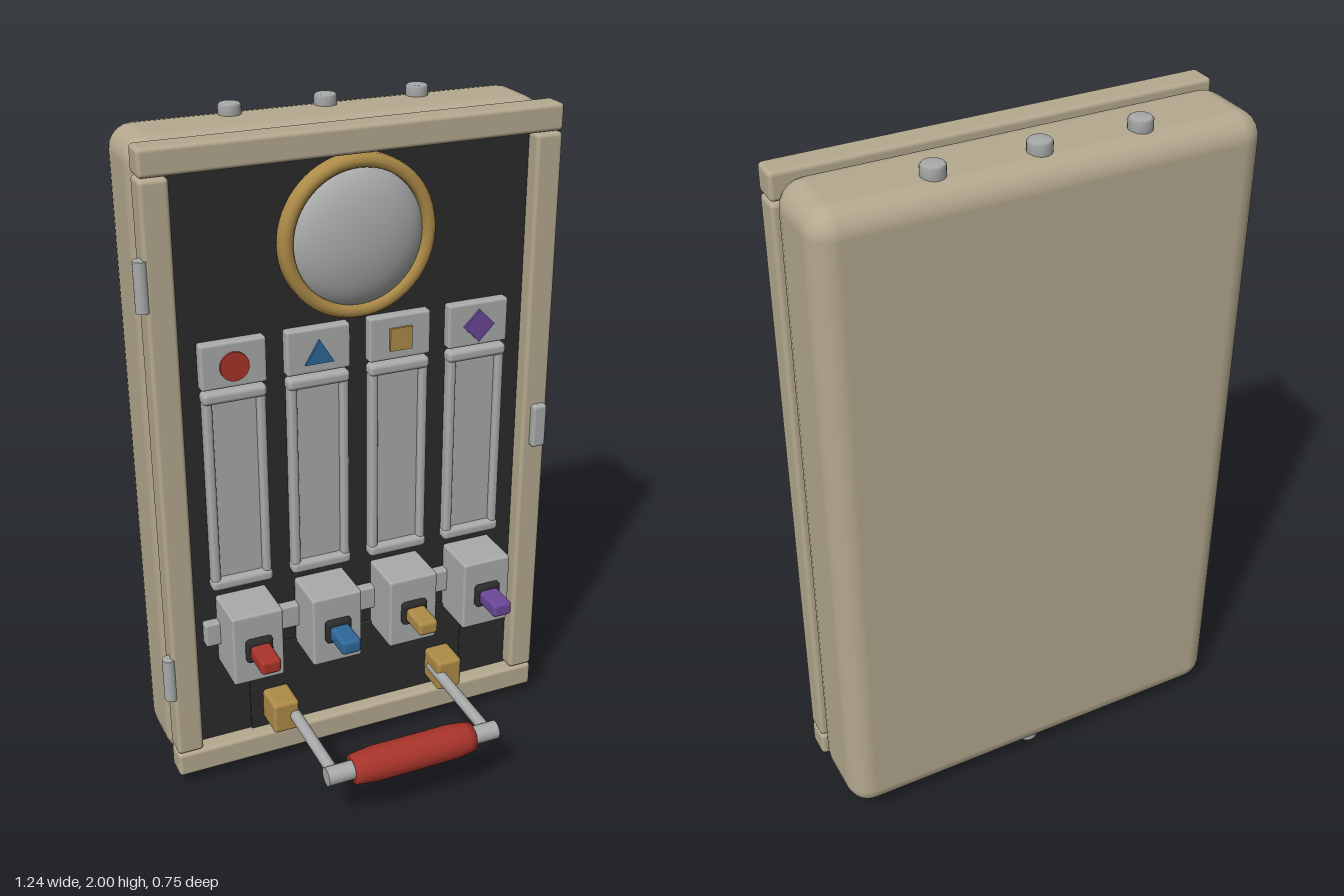
import * as THREE from 'three';
import { RoundedBoxGeometry } from 'three/addons/geometries/RoundedBoxGeometry.js';

const CX = 0.012;      // middle of the cabinet
const PANEL_Z = -0.09; // face of the recessed panel

export function createModel() {
  const root = new THREE.Group();
  root.name = 'controlCabinet';

  const mat = (name, color) => {
    const m = new THREE.MeshStandardMaterial({ color });
    m.name = name;
    return m;
  };
  const beige = mat('beige paint', 0xb5a98f);
  const dark = mat('dark panel', 0x2b2b2b);
  const metal = mat('grey metal', 0xa9abab);
  const gold = mat('brass', 0xae8c48);
  const red = mat('red', 0xa8342a);
  const blue = mat('blue', 0x2f6799);
  const purple = mat('purple', 0x6b4799);

  const add = (name, geometry, material, x = 0, y = 0, z = 0, parent = root) => {
    const mesh = new THREE.Mesh(geometry, material);
    mesh.name = name;
    mesh.position.set(x, y, z);
    parent.add(mesh);
    return mesh;
  };
  // Rounded box given by its limits on each axis
  const box = (name, material, [x0, x1], [y0, y1], [z0, z1], r = 0.008, parent = root) =>
    add(name, new RoundedBoxGeometry(x1 - x0, y1 - y0, z1 - z0, 3, r), material,
      (x0 + x1) / 2, (y0 + y1) / 2, (z0 + z1) / 2, parent);
  const around = (c, size) => [c - size / 2, c + size / 2];

  // Cabinet shell, panel and door frame
  box('cabinetBody', beige, [-0.594, 0.618], [0.04, 1.97], [-0.377, -0.115], 0.07);
  box('panel', dark, [-0.54, 0.564], [0.1, 1.91], [-0.13, PANEL_Z], 0.004);
  box('lowerDoor', dark, [-0.345, 0.37], [0.11, 0.41], [PANEL_Z - 0.01, PANEL_Z + 0.008], 0.003);
  const frameZ = [-0.119, -0.041];
  box('frameTop', beige, [-0.594, 0.618], [1.893, 1.97], frameZ, 0.012);
  box('frameBottom', beige, [-0.594, 0.618], [0.04, 0.12], frameZ, 0.012);
  box('frameRight', beige, [-0.594, -0.514], [0.122, 1.89], frameZ, 0.012);
  box('frameLeft', beige, [0.538, 0.618], [0.122, 1.89], frameZ, 0.012);

  // Hinges and latch
  for (const y of [0.395, 1.612]) {
    add('hinge', new THREE.CylinderGeometry(0.02, 0.02, 0.14, 20), metal, -0.6, y, -0.058);
  }
  box('latch', metal, [0.563, 0.608], [0.935, 1.072], [-0.06, -0.02], 0.009);

  // Bolts on the top and bottom
  const boltProfile = [[0, -0.04], [0.032, -0.04], [0.032, 0.034], [0.027, 0.04], [0, 0.04]]
    .map(([x, y]) => new THREE.Vector2(x, y));
  const bolt = new THREE.LatheGeometry(boltProfile, 24);
  for (const dx of [-0.276, 0, 0.276]) add('topBolt', bolt, metal, CX, 1.96, -0.295).position.x += dx;
  add('bottomBolt', bolt, metal, CX, 0.04, -0.295).rotation.x = Math.PI;

  // Domed lamp with its brass ring
  const dome = add('lampDome', new THREE.SphereGeometry(0.2, 48, 32), metal, CX, 1.655, -0.093);
  dome.scale.z = 0.38;
  const ringProfile = [[0.192, -0.02], [0.192, 0.028], [0.199, 0.036], [0.212, 0.038],
    [0.224, 0.034], [0.23, 0.024], [0.23, -0.02]].map(([x, y]) => new THREE.Vector2(x, y));
  const ringMaterial = gold;
  const ring = add('lampRing', new THREE.LatheGeometry(ringProfile.reverse(), 64), ringMaterial, CX, 1.66, PANEL_Z);
  ring.rotation.x = Math.PI / 2;
  ring.material.side = THREE.DoubleSide;

  // Symbol outlines
  const polygon = (pts) => new THREE.Shape(pts.map(([x, y]) => new THREE.Vector2(x, y)));
  const symbols = [
    new THREE.Shape().absarc(0, 0, 0.042, 0, Math.PI * 2),
    polygon([[-0.043, -0.033], [0.043, -0.033], [0, 0.037]]),
    polygon([[-0.034, -0.034], [0.034, -0.034], [0.034, 0.034], [-0.034, 0.034]]),
    polygon([[0, -0.049], [0.049, 0], [0, 0.049], [-0.049, 0]]),
  ];

  // Four switch columns: symbol plate, framed window, switch box, toggle
  box('crossBar', metal, [-0.482, 0.472], [0.47, 0.545], [-0.1, -0.06], 0.006);
  [red, blue, gold, purple].forEach((color, i) => {
    const x = CX + (i - 1.5) * 0.248;
    const column = new THREE.Group();
    column.name = 'switchColumn' + (i + 1);
    root.add(column);
    const part = (name, m, w, ys, zs, r, dx = 0) => box(name, m, around(x + dx, w), ys, zs, r, column);

    part('symbolPlate', metal, 0.19, [1.287, 1.42], [-0.1, -0.06], 0.008);
    const symbol = new THREE.ExtrudeGeometry(symbols[i], { depth: 0.009, bevelEnabled: false, curveSegments: 24 });
    add('symbol', symbol, color, x, 1.35, -0.061, column);

    part('window', metal, 0.15, [0.67, 1.26], [-0.1, -0.078], 0.004);
    for (const s of [-1, 1]) part('windowSide', metal, 0.026, [0.665, 1.265], [-0.1, -0.06], 0.011, s * 0.078);
    part('windowTop', metal, 0.188, [1.243, 1.28], [-0.1, -0.055], 0.014);
    part('windowBottom', metal, 0.188, [0.653, 0.69], [-0.1, -0.055], 0.014);

    part('switchBox', metal, 0.156, [0.395, 0.622], [-0.1, 0.055], 0.008);
    part('toggleBase', dark, 0.082, [0.47, 0.545], [0.04, 0.073], 0.012);
    part('toggle', color, 0.062, [0.484, 0.53], [0.06, 0.163], 0.012);
  });

  // Pull handle: brass mounts, arms, bar and grip
  const handle = new THREE.Group();
  handle.name = 'pullHandle';
  root.add(handle);
  const hy = 0.202, hz = 0.32;
  for (const s of [-1, 1]) {
    box('handleMount', gold, around(CX + s * 0.276, 0.083), around(hy, 0.104), [-0.1, 0.014], 0.012, handle);
    const arm = add('handleArm', new THREE.CylinderGeometry(0.018, 0.018, hz + 0.06, 20), metal,
      CX + s * 0.248, hy, (hz - 0.06) / 2, handle);
    arm.rotation.x = Math.PI / 2;
  }
  const bar = add('handleBar', new THREE.CylinderGeometry(0.028, 0.028, 0.55, 24), metal, CX, hy, hz, handle);
  bar.rotation.z = Math.PI / 2;
  const gripProfile = [[0.026, -0.193], [0.044, -0.193], [0.048, -0.17], [0.053, -0.125],
    [0.053, 0.125], [0.048, 0.17], [0.044, 0.193], [0.026, 0.193]].map(([x, y]) => new THREE.Vector2(x, y));
  const grip = add('handleGrip', new THREE.LatheGeometry(gripProfile, 32), red, CX, hy, hz, handle);
  grip.rotation.z = Math.PI / 2;

  return root;
}
